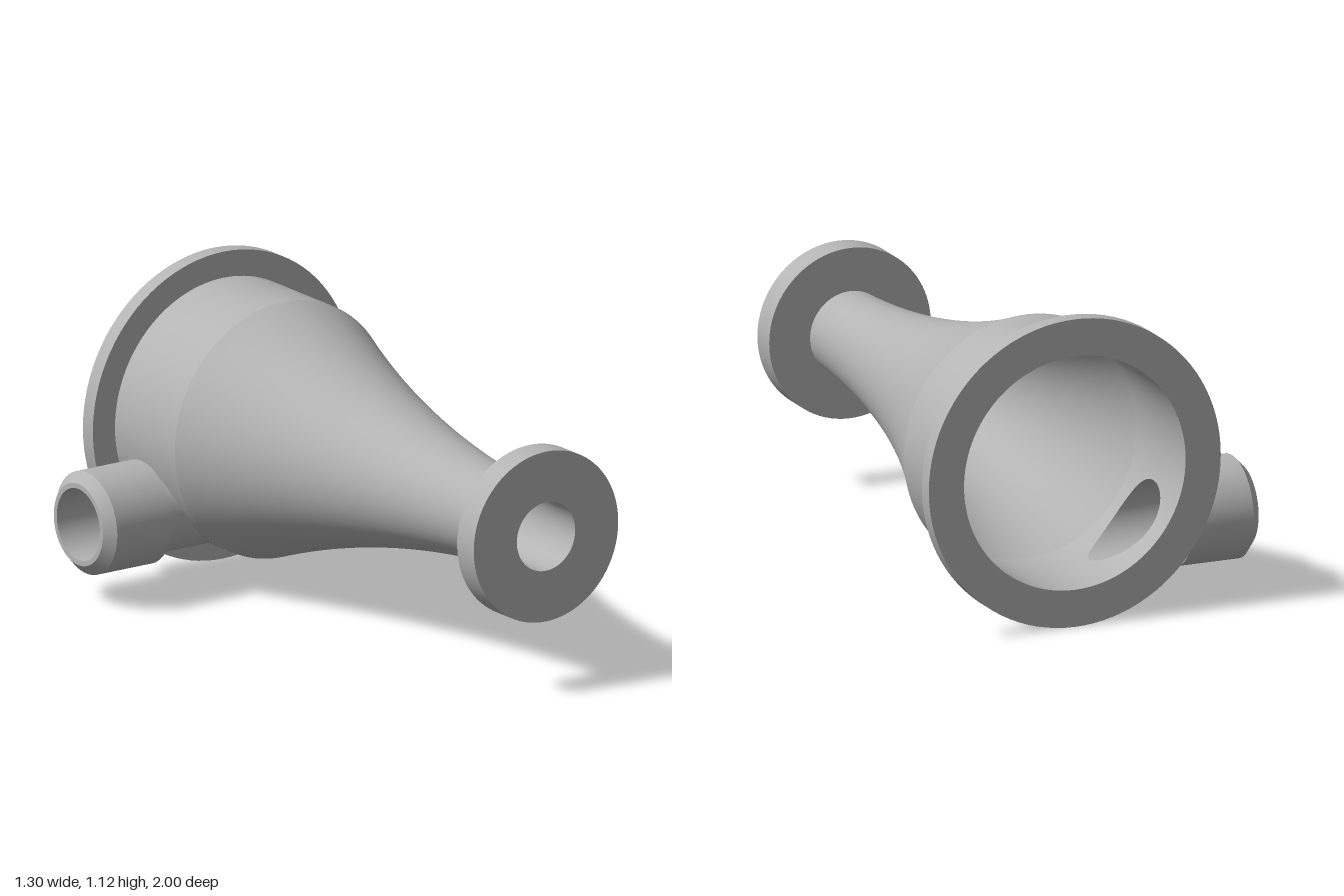
import * as THREE from 'three';
import { mergeGeometries } from 'three/addons/utils/BufferGeometryUtils.js';

const SEG = 96;
const R_OUT = 0.465, R_IN = 0.425;      // barrel wall
const Z_BACK = -1, Z_BARREL = -0.58;    // barrel ends
const PIPE_Y = -0.265, PIPE_Z = -0.775; // side pipe axis, relative to the barrel axis
const PIPE_R = 0.155, BORE_R = 0.13;
const PHI_A = -1.45, PHI_B = -0.2;      // barrel sector that holds the side port

// Surface through closed loops: point(angle, t) with t from 0 to 1
function loft(point, rows) {
  const pos = [], index = [];
  for (let j = 0; j <= rows; j++)
    for (let i = 0; i < SEG; i++) pos.push(...point((i / SEG) * Math.PI * 2, j / rows));
  for (let j = 0; j < rows; j++)
    for (let i = 0; i < SEG; i++) {
      const a = j * SEG + i, b = j * SEG + (i + 1) % SEG;
      index.push(a, a + SEG, b, b, a + SEG, b + SEG);
    }
  const g = new THREE.BufferGeometry();
  g.setAttribute('position', new THREE.Float32BufferAttribute(pos, 3));
  g.setIndex(index);
  g.computeVertexNormals();
  return g;
}

// Smooth turned surface about z from [radius, z] pairs
function turned(pairs, start = 0, length = Math.PI * 2) {
  const pts = pairs.map(([r, z]) => new THREE.Vector2(r, z));
  return new THREE.LatheGeometry(pts, SEG, start, length).rotateX(Math.PI / 2);
}

// Turned surface with a crisp edge at every profile point
function crisp(pairs) {
  return mergeGeometries(pairs.slice(1).map((p, i) => turned([pairs[i], p])));
}

// Point of the side pipe where it meets a barrel of radius R
function portPoint(R, r, a) {
  const y = PIPE_Y - r * Math.cos(a);
  return [-Math.sqrt(R * R - y * y), y, PIPE_Z + r * Math.sin(a)];
}

// Barrel sector with a round port cut through it
function portPatch(R, z0, z1) {
  const clamp = v => THREE.MathUtils.clamp(v * Math.SQRT2, -1, 1);
  return loft((a, t) => {
    const [x, y, z] = portPoint(R, BORE_R, a);
    const edgePhi = (PHI_A + PHI_B) / 2 + (PHI_B - PHI_A) / 2 * clamp(Math.cos(a));
    const edgeZ = (z0 + z1) / 2 + (z1 - z0) / 2 * clamp(Math.sin(a));
    const phi = THREE.MathUtils.lerp(Math.atan2(x, -y), edgePhi, t);
    return [R * Math.sin(phi), -R * Math.cos(phi), THREE.MathUtils.lerp(z, edgeZ, t)];
  }, 10);
}

// Flared horn profile from the barrel to the nozzle
function hornProfile(rWide, rNarrow) {
  const out = [];
  for (let i = 0; i <= 32; i++) {
    const z = Z_BARREL + (0.9 - Z_BARREL) * i / 32, t = 0.9 - z;
    const k = (0.0413 * t + 0.1145 * t * t) / 0.312;
    out.push([rNarrow + (rWide - rNarrow) * k, z]);
  }
  return out;
}

export function createModel() {
  const metal = new THREE.MeshStandardMaterial({ color: 0xb4b4b4, side: THREE.DoubleSide });
  metal.name = 'plain grey';
  const model = new THREE.Group();
  model.name = 'flaredInletBody';
  const add = (name, geometry) => {
    const mesh = new THREE.Mesh(geometry, metal);
    mesh.name = name;
    model.add(mesh);
  };

  // Barrel walls, left open where the port patches fit
  const rest = Math.PI * 2 - (PHI_B - PHI_A);
  add('barrelOuter', turned([[R_OUT, -0.94], [R_OUT, Z_BARREL]], PHI_B, rest));
  add('barrelInner', turned([[R_IN, Z_BARREL], [R_IN, Z_BACK]], PHI_B, rest));
  add('portOuter', portPatch(R_OUT, -0.94, Z_BARREL));
  add('portInner', portPatch(R_IN, Z_BACK, Z_BARREL));

  // Flared horn, outside and inside
  add('hornOuter', turned(hornProfile(R_OUT, 0.153)));
  add('hornInner', turned(hornProfile(R_IN, 0.125).reverse()));

  // End flanges
  add('wideFlange', crisp([[R_IN, -1], [0.56, -1], [0.56, -0.94], [R_OUT, -0.94]]));
  add('narrowFlange', crisp([[0.153, 0.9], [0.31, 0.9], [0.31, 1], [0.125, 1], [0.125, 0.9]]));

  // Side pipe trimmed to the barrel
  const pipe = (R, r, xEnd) => loft((a, t) => {
    const [x, y, z] = portPoint(R, r, a);
    return [THREE.MathUtils.lerp(xEnd, x, t), y, z];
  }, 4);
  add('sidePipe', pipe(R_OUT, PIPE_R, -0.47));
  add('sideBore', pipe(R_IN, BORE_R, -0.74));

  // Chamfered collar on the pipe end
  const collar = crisp([[BORE_R, -0.74], [0.148, -0.74], [0.185, -0.705], [0.185, -0.47], [PIPE_R, -0.47]]);
  add('sideCollar', collar.rotateY(Math.PI / 2).translate(0, PIPE_Y, PIPE_Z));

  model.position.set(0.09, 0.56, 0);
  const root = new THREE.Group();
  root.add(model);
  return root;
}
